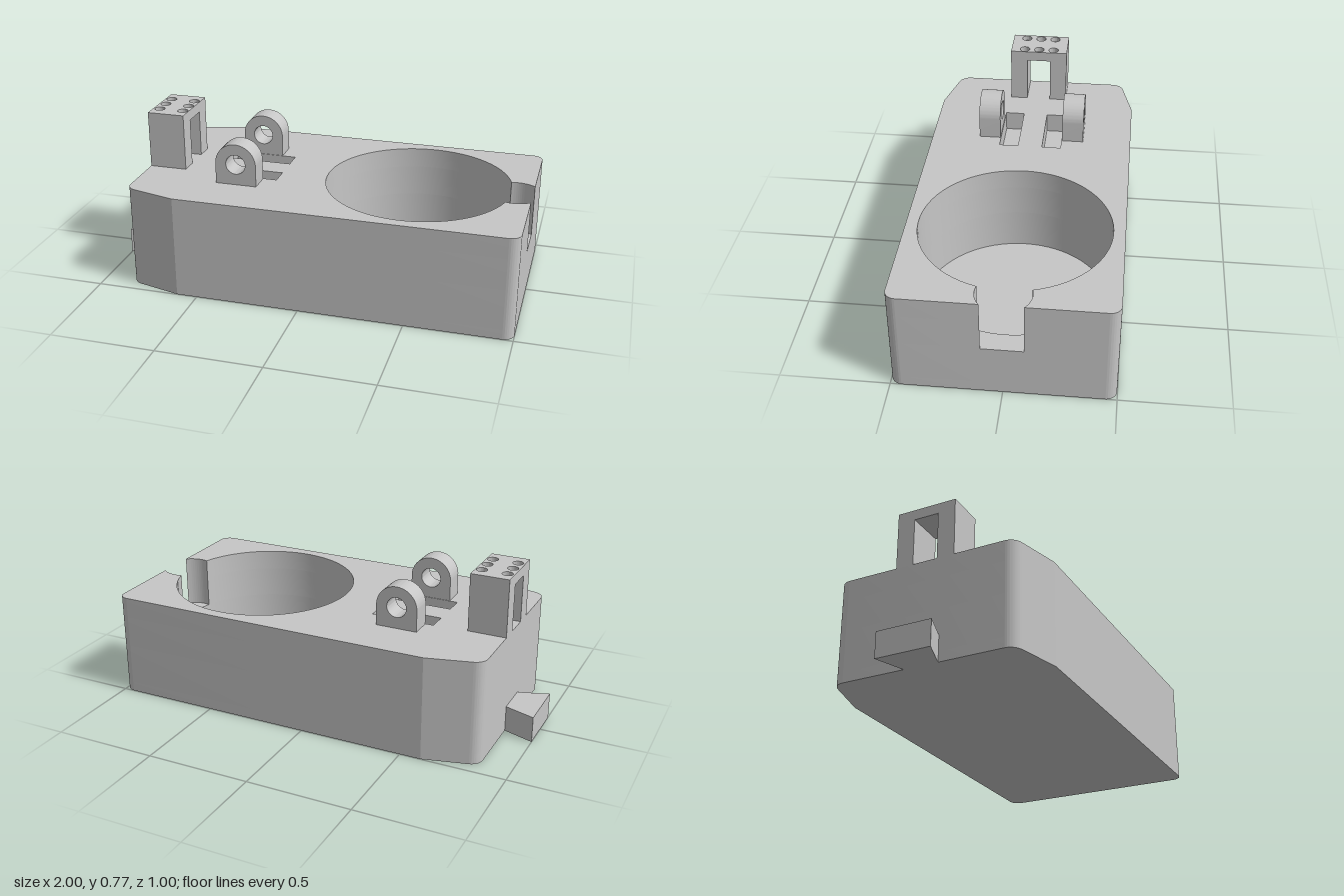
import * as THREE from 'three';
import { toCreasedNormals } from 'three/addons/utils/BufferGeometryUtils.js';

const grey = new THREE.MeshStandardMaterial({ color: 0xc6c6c6 });
grey.name = 'grey plastic';

function addMesh(parent, name, geometry) {
  const mesh = new THREE.Mesh(geometry, grey);
  mesh.name = name;
  parent.add(mesh);
  return mesh;
}

// Extrude a plan shape (x, -z) upwards between two heights
function slab(shape, y0, y1) {
  const g = new THREE.ExtrudeGeometry(shape, { depth: y1 - y0, bevelEnabled: false, curveSegments: 32 });
  g.rotateX(-Math.PI / 2).translate(0, y0, 0);
  return toCreasedNormals(g, 0.2);
}

function rectPath(x0, x1, y0, y1, Type = THREE.Path) {
  return new Type([[x0, y0], [x1, y0], [x1, y1], [x0, y1]].map(p => new THREE.Vector2(...p)));
}

function circlePath(x, y, r) {
  return new THREE.Path().absarc(x, y, r, 0, Math.PI * 2, false);
}

// Round pocket and the smaller finger notch that opens it to the +x end
const pocket = { x: 0.459, r: 0.443 };
const notch = { x: 0.92, r: 0.124 };
const gap = notch.x - pocket.x;
const along = (gap * gap + pocket.r ** 2 - notch.r ** 2) / (2 * gap);
const half = Math.sqrt(pocket.r ** 2 - along ** 2);
const pocketMeet = Math.atan2(half, along);
const notchMeet = Math.atan2(half, along - gap);
const mouth = Math.acos((1 - notch.x) / notch.r);

// Plan of the body: rounded corners, tapered at the -x end
function bodyOutline(withNotch) {
  const s = new THREE.Shape();
  const q = Math.PI / 2;
  const taper = q + Math.atan(0.25);
  s.moveTo(-0.6, -0.498);
  s.lineTo(0.95, -0.498);
  s.absarc(0.95, -0.448, 0.05, -q, 0, false);
  if (withNotch) {
    s.absarc(notch.x, 0, notch.r, -mouth, -notchMeet, true);
    s.absarc(pocket.x, 0, pocket.r, -pocketMeet, pocketMeet, true);
    s.absarc(notch.x, 0, notch.r, notchMeet, mouth, true);
  }
  s.absarc(0.95, 0.448, 0.05, 0, q, false);
  s.lineTo(-0.6, 0.498);
  s.absarc(-0.795, 0.387, 0.06, taper, Math.PI, false);
  s.absarc(-0.795, -0.387, 0.06, Math.PI, 2 * Math.PI - taper, false);
  s.closePath();
  return s;
}

export function createModel() {
  const model = new THREE.Group();
  model.name = 'holderBase';

  // Body in layers: floor, pocket, pocket with notch, then hinge slots
  const body = new THREE.Group();
  body.name = 'body';
  model.add(body);
  addMesh(body, 'bodyFloor', slab(bodyOutline(false), 0, 0.05));
  const pocketLayer = bodyOutline(false);
  pocketLayer.holes.push(new THREE.Path()
    .absarc(pocket.x, 0, pocket.r, -pocketMeet, pocketMeet, true)
    .absarc(pocket.x, 0, pocket.r, pocketMeet, -pocketMeet, true));
  addMesh(body, 'pocketWall', slab(pocketLayer, 0.05, 0.248));
  addMesh(body, 'notchedWall', slab(bodyOutline(true), 0.248, 0.4));
  const topLayer = bodyOutline(true);
  topLayer.holes.push(rectPath(-0.51, -0.203, 0.06, 0.153), rectPath(-0.51, -0.203, -0.153, -0.06));
  addMesh(body, 'slottedTop', slab(topLayer, 0.4, 0.498));

  // Pair of hinge lugs with pin holes
  const lug = new THREE.Shape();
  lug.moveTo(-0.1, -0.102);
  lug.lineTo(0.1, -0.102);
  lug.absarc(0, 0, 0.1, 0, Math.PI, false);
  lug.closePath();
  lug.holes.push(circlePath(0, 0, 0.048));
  const lugGeometry = toCreasedNormals(
    new THREE.ExtrudeGeometry(lug, { depth: 0.105, bevelEnabled: false, curveSegments: 24 }), 0.5);
  for (const [name, z] of [['frontHingeLug', 0.156], ['backHingeLug', -0.261]]) {
    addMesh(model, name, lugGeometry).position.set(-0.37, 0.6, z);
  }

  // Bridge at the -x end: two legs and a roof with six blind holes
  const bridge = new THREE.Group();
  bridge.name = 'bridge';
  model.add(bridge);
  for (const [name, side] of [['frontBridgeLeg', 1], ['backBridgeLeg', -1]]) {
    addMesh(bridge, name, new THREE.BoxGeometry(0.183, 0.227, 0.085))
      .position.set(-0.7635, 0.6115, side * 0.1025);
  }
  const roof = () => rectPath(-0.855, -0.672, -0.145, 0.145, THREE.Shape);
  addMesh(bridge, 'bridgeRoof', slab(roof(), 0.725, 0.75));
  const holedRoof = roof();
  for (const x of [-0.822, -0.702]) {
    for (const z of [-0.075, 0, 0.075]) holedRoof.holes.push(circlePath(x, z, 0.025));
  }
  addMesh(bridge, 'holedRoof', slab(holedRoof, 0.75, 0.775));

  // Dovetail tab low on the -x end
  const tab = new THREE.Shape([[-1, -0.133], [-0.855, -0.083], [-0.855, 0.083], [-1, 0.133]]
    .map(p => new THREE.Vector2(...p)));
  addMesh(model, 'dovetailTab', slab(tab, 0, 0.125));

  return model;
}
